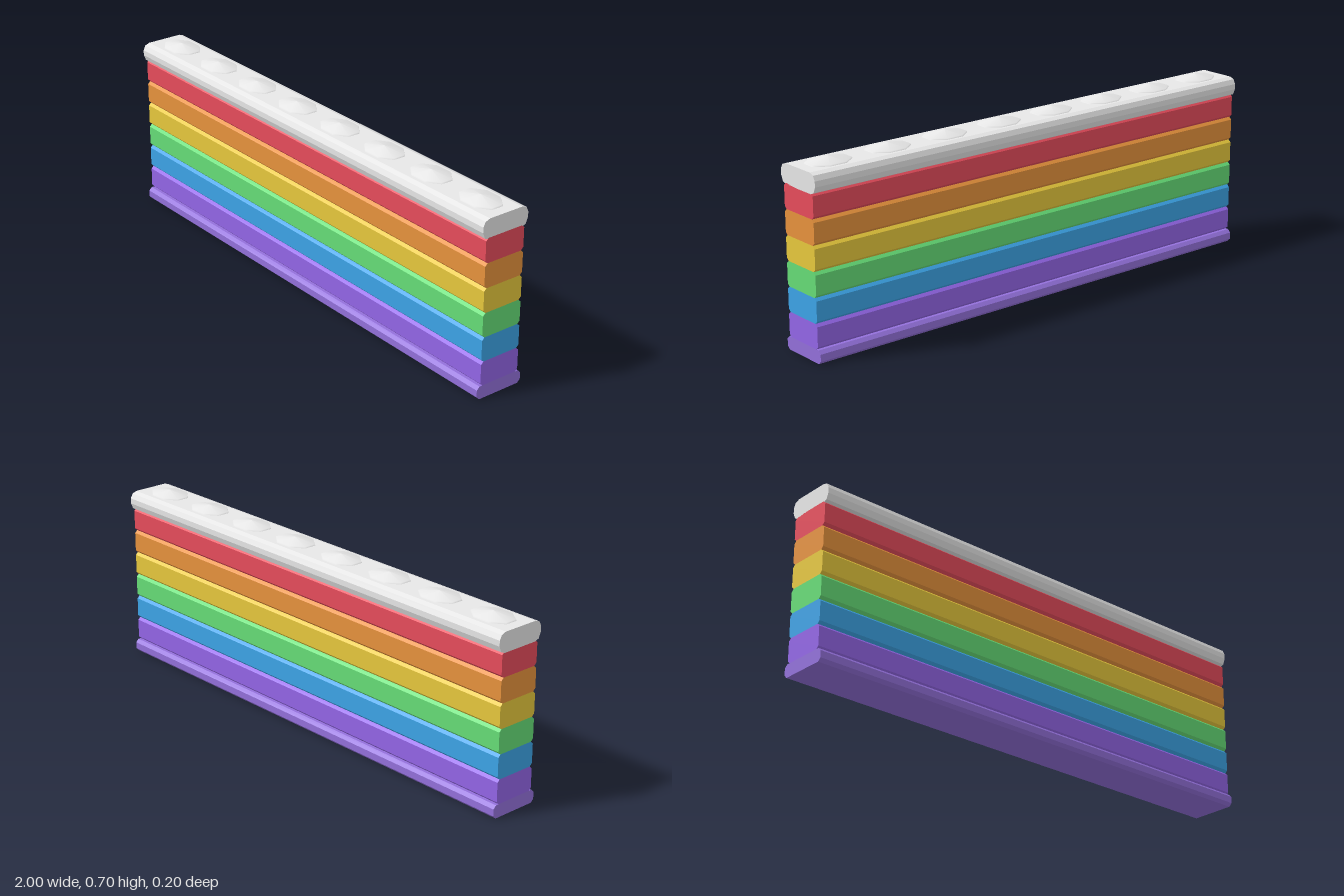
import * as THREE from 'three';

const material = (name, color) => {
  const m = new THREE.MeshStandardMaterial({ color });
  m.name = name;
  return m;
};

// Long bar along x from the right half of a mirrored profile (bottom to top)
function bar(name, half, mat) {
  const left = half.map(([z, y]) => [-z, y]).reverse();
  const shape = new THREE.Shape([...half, ...left].map(([z, y]) => new THREE.Vector2(z, y)));
  const geometry = new THREE.ExtrudeGeometry(shape, { depth: 2, bevelEnabled: false });
  geometry.translate(0, 0, -1).rotateY(Math.PI / 2);
  const mesh = new THREE.Mesh(geometry, mat);
  mesh.name = name;
  return mesh;
}

// Chamfered rectangular profile
const chamfered = (w, y0, y1, c) => [[w - c, y0], [w, y0 + c], [w, y1 - c], [w - c, y1]];

export function createModel() {
  const group = new THREE.Group();
  group.name = 'stripedWall';

  // Base rail
  group.add(bar('baseRail', chamfered(0.1, 0, 0.05, 0.012), material('deep violet', 0x9370db)));

  // Six coloured bands, bottom to top
  const bands = [
    ['violet', 0xa371ff], ['blue', 0x44b5ff], ['green', 0x66dd77],
    ['yellow', 0xffdd44], ['orange', 0xffa244], ['red', 0xff5566],
  ];
  const step = 0.56 / bands.length;
  bands.forEach(([name, color], i) => {
    const y = 0.05 + i * step;
    group.add(bar(name + 'Band', chamfered(0.085, y, y + step, 0.01), material(name, color)));
  });

  // Rounded cap rail
  const white = material('white', 0xffffff);
  group.add(bar('capRail', [
    [0.075, 0.605], [0.091, 0.612], [0.1, 0.634],
    [0.1, 0.655], [0.091, 0.673], [0.072, 0.68],
  ], white));

  // Low oval domes along the cap
  const profile = [[1.04, 0.675], [0.98, 0.685], [0, 0.7]].map(([r, y]) => new THREE.Vector2(r, y));
  const dome = new THREE.LatheGeometry(profile, 8, Math.PI / 8);
  dome.scale(0.089, 1, 0.064);
  for (let i = 0; i < 8; i++) {
    const mesh = new THREE.Mesh(dome, white);
    mesh.name = 'capDome';
    mesh.position.x = -0.875 + i * 0.25;
    group.add(mesh);
  }
  return group;
}
